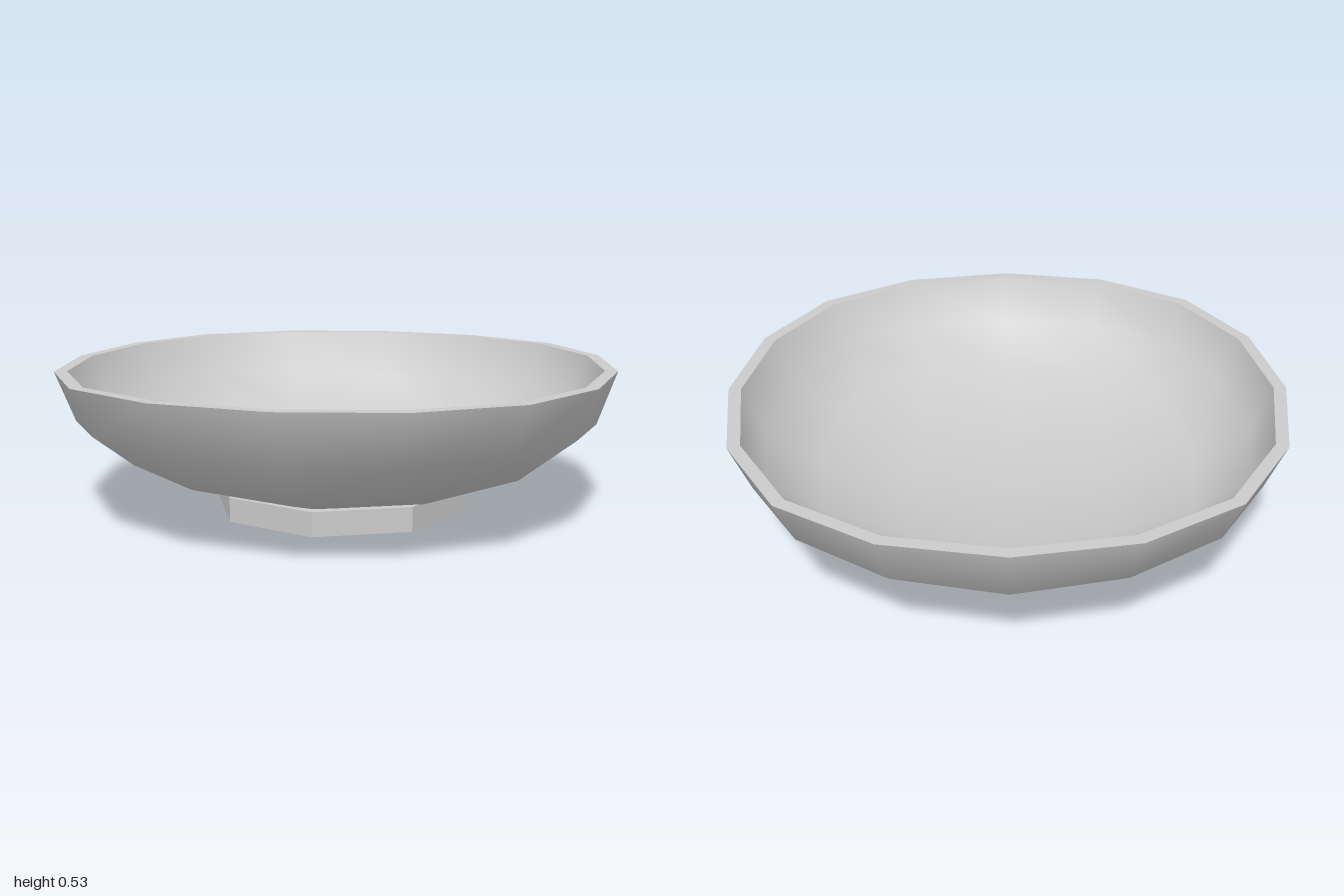
import * as THREE from 'three';
import { mergeVertices } from 'three/addons/utils/BufferGeometryUtils.js';

const RIM_Y = 0.53, FOOT_R = 0.46, FOOT_H = 0.088;

// Rounded-cube patch: [normal, larger tangent, smaller tangent] for each grid step from a face centre
const PATCH = {
  '00': [1, 0, 0], '10': [0.933, 0.4, 0], '20': [0.732, 0.732, 0],
  '11': [0.87, 0.371, 0.371], '21': [0.682, 0.682, 0.344], '22': [0.58, 0.58, 0.58],
};

function patchPoint(n, u, v, a, b) {
  const A = Math.abs(a), B = Math.abs(b);
  const [h, big, small] = PATCH[`${Math.max(A, B)}${Math.min(A, B)}`];
  const s = Math.sign(a) * (A >= B ? big : small);
  const t = Math.sign(b) * (A >= B ? small : big);
  return new THREE.Vector3().addScaledVector(n, h).addScaledVector(u, s).addScaledVector(v, t);
}

const UP = new THREE.Vector3(0, 1, 0);
const SIDES = [[0, 1], [1, 0], [0, -1], [-1, 0]].map(([x, z]) => {
  const n = new THREE.Vector3(x, 0, z);
  return { n, u: UP.clone().cross(n), v: UP, rows: [-2, -1] };
});
const BOTTOM = {
  n: new THREE.Vector3(0, -1, 0), u: new THREE.Vector3(1, 0, 0),
  v: new THREE.Vector3(0, 0, 1), rows: [-2, -1, 0, 1],
};

// Lower half of the rounded cube, scaled and hung from the rim
function halfShell(radius, depth, inward) {
  const pos = [];
  for (const { n, u, v, rows } of [...SIDES, BOTTOM]) {
    for (const b of rows) for (let a = -2; a < 2; a++) {
      const q = [[a, b], [a + 1, b], [a + 1, b + 1], [a, b + 1]].map(([i, j]) => patchPoint(n, u, v, i, j));
      const order = inward ? [0, 2, 1, 0, 3, 2] : [0, 1, 2, 0, 2, 3];
      for (const k of order) pos.push(q[k].x * radius, RIM_Y + q[k].y * depth, q[k].z * radius);
    }
  }
  const geo = new THREE.BufferGeometry();
  geo.setAttribute('position', new THREE.Float32BufferAttribute(pos, 3));
  const merged = mergeVertices(geo, 1e-4);
  merged.computeVertexNormals();
  return merged;
}

// Sixteen-sided outline of the rim
function rimOutline(radius) {
  return SIDES.flatMap(({ n, u, v }) => [-2, -1, 0, 1].map((a) => {
    const p = patchPoint(n, u, v, a, 0);
    return new THREE.Vector2(p.x * radius, -p.z * radius);
  }));
}

export function createModel() {
  const group = new THREE.Group();
  group.name = 'bowl';
  const smooth = new THREE.MeshStandardMaterial({ color: 0xcccccc });
  const flat = new THREE.MeshStandardMaterial({ color: 0xcccccc, flatShading: true });
  const add = (name, geo, mat) => {
    const mesh = new THREE.Mesh(geo, mat);
    mesh.name = name;
    group.add(mesh);
  };

  add('outerWall', halfShell(1, 0.48, false), smooth);
  add('innerWall', halfShell(0.955, 0.437, true), smooth);

  // Flat lip joining the two walls
  const lip = new THREE.Shape(rimOutline(1));
  lip.holes.push(new THREE.Path(rimOutline(0.955)));
  add('rim', new THREE.ShapeGeometry(lip).rotateX(-Math.PI / 2).translate(0, RIM_Y, 0), flat);

  // Octagonal foot
  add('foot', new THREE.CylinderGeometry(FOOT_R, FOOT_R, FOOT_H, 8).translate(0, FOOT_H / 2, 0), flat);
  return group;
}
